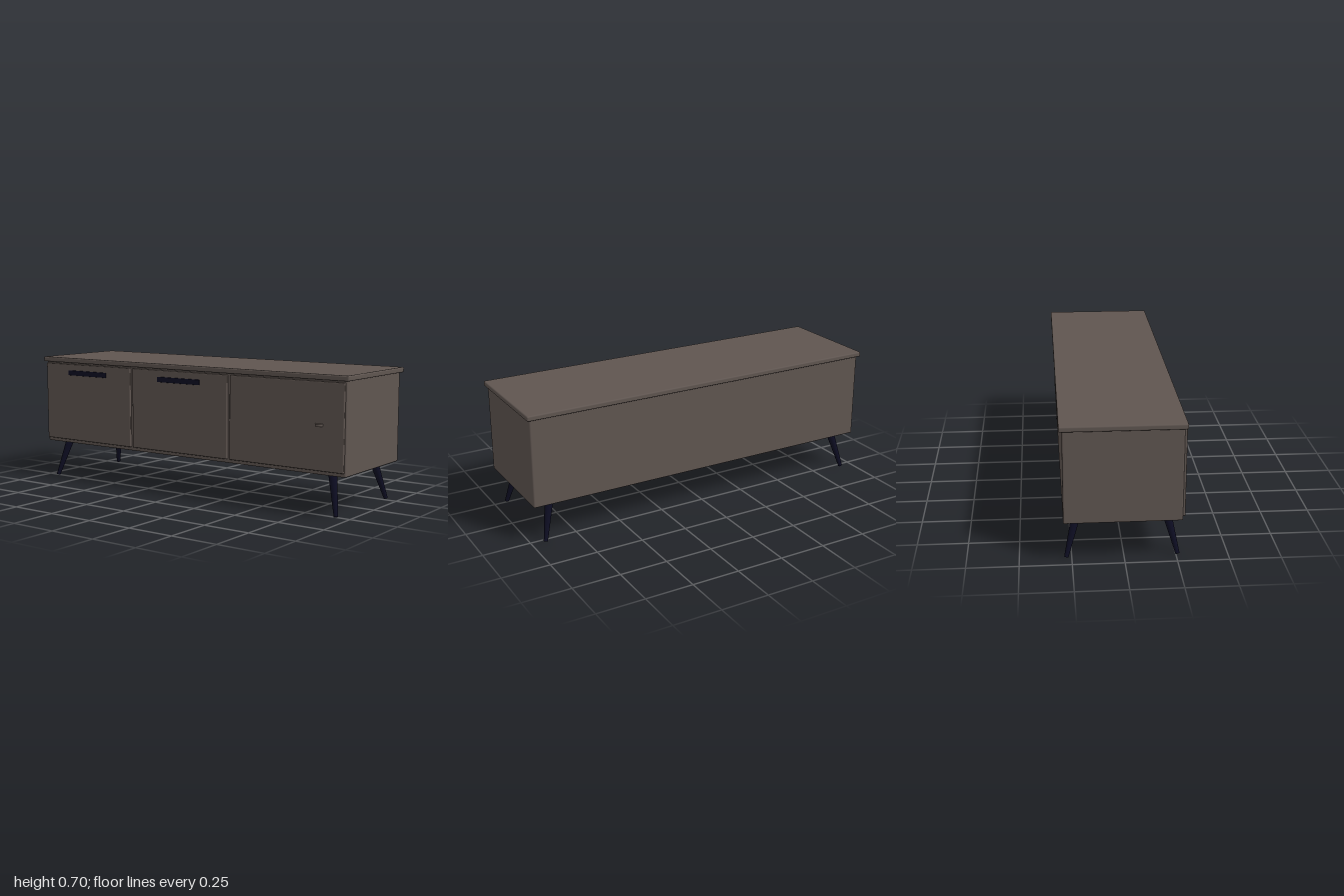
import * as THREE from 'three';
import { RoundedBoxGeometry } from 'three/addons/geometries/RoundedBoxGeometry.js';

export function createModel() {
  const group = new THREE.Group();
  const wood = new THREE.MeshStandardMaterial({ color: 0x5f5550 });
  wood.name = 'taupe wood';
  const dark = new THREE.MeshStandardMaterial({ color: 0x0d0d22 });
  dark.name = 'midnight metal';

  const add = (name, geometry, material) => {
    const mesh = new THREE.Mesh(geometry, material);
    mesh.name = name;
    group.add(mesh);
    return mesh;
  };
  // Softly rounded box given by its min and max corners
  const slab = (name, [x0, y0, z0], [x1, y1, z1], radius, material) =>
    add(name, new RoundedBoxGeometry(x1 - x0, y1 - y0, z1 - z0, 3, radius), material)
      .position.set((x0 + x1) / 2, (y0 + y1) / 2, (z0 + z1) / 2);

  // Cabinet and overhanging top
  slab('cabinetBody', [-0.985, 0.204, -0.29], [0.985, 0.675, 0.273], 0.008, wood);
  slab('tabletop', [-1, 0.668, -0.305], [1, 0.695, 0.287], 0.007, wood);

  // Two drawers and a door
  [['leftmostDrawer', -0.978, -0.348], ['middleDrawer', -0.331, 0.299], ['door', 0.316, 0.978]]
    .forEach(([name, x0, x1]) => slab(name, [x0, 0.224, 0.262], [x1, 0.66, 0.285], 0.005, wood));

  // Long flat drawer pulls
  [-0.661, -0.014].forEach((x) =>
    slab('drawerHandle', [x - 0.141, 0.597, 0.278], [x + 0.141, 0.625, 0.29], 0.002, dark));

  // Disc-shaped door knob, half sunk into the door
  add('doorKnob', new THREE.CylinderGeometry(0.021, 0.021, 0.013, 24), wood)
    .position.set(0.843, 0.45, 0.285);

  // Splayed tapered legs
  const up = new THREE.Vector3(0, 1, 0);
  for (const side of [-1, 1]) {
    for (const [name, zTop, zFoot] of [['frontLeg', 0.205, 0.258], ['backLeg', -0.223, -0.276]]) {
      const top = new THREE.Vector3(side * 0.877, 0.21, zTop);
      const foot = new THREE.Vector3(side * 0.928, 0.003, zFoot);
      const axis = top.clone().sub(foot);
      const leg = add(name, new THREE.CylinderGeometry(0.0225, 0.0105, axis.length(), 24), dark);
      leg.position.copy(top).add(foot).multiplyScalar(0.5);
      leg.quaternion.setFromUnitVectors(up, axis.normalize());
    }
  }
  return group;
}
